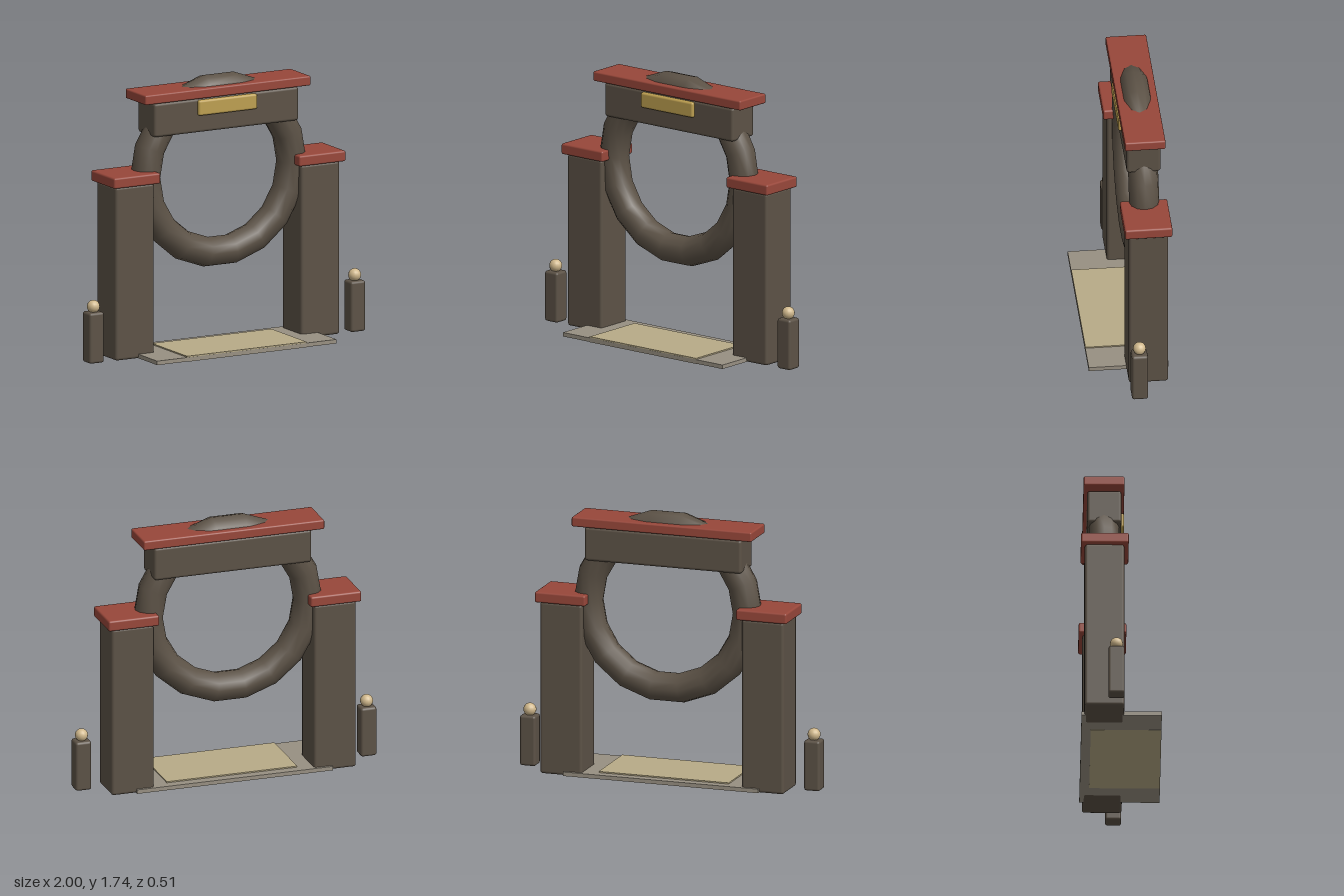
import * as THREE from 'three';
import { RoundedBoxGeometry } from 'three/addons/geometries/RoundedBoxGeometry.js';

const mat = (color) => new THREE.MeshStandardMaterial({ color });
const stone = mat(0x5c5246);
const red = mat(0x98473a);
const gold = mat(0xbd9f50);
const sand = mat(0xb8ab87);
const slab = mat(0x989082);
const lamp = mat(0xd0b88c);

export function createModel() {
  const gate = new THREE.Group();
  gate.name = 'ringGate';

  const add = (name, geometry, material, x, y, z) => {
    const mesh = new THREE.Mesh(geometry, material);
    mesh.name = name;
    mesh.position.set(x, y, z);
    gate.add(mesh);
    return mesh;
  };

  // Box given by centre x, width, and its y and z ranges; r rounds the edges
  const block = (name, material, x, w, [y0, y1], [z0, z1], r = 0) => {
    const h = y1 - y0, d = z1 - z0;
    const geometry = r ? new RoundedBoxGeometry(w, h, d, 2, r) : new THREE.BoxGeometry(w, h, d);
    return add(name, geometry, material, x, (y0 + y1) / 2, (z0 + z1) / 2);
  };

  // Floor slab with a raised threshold panel
  block('floorSlab', slab, 0, 1.3, [0.002, 0.028], [-0.25, 0.255]);
  block('thresholdPanel', sand, 0, 0.866, [0, 0.036], [-0.19, 0.254]);

  // Pillars, their caps and the small lamp posts, mirrored
  for (const [side, s] of [['left', 1], ['right', -1]]) {
    block(side + 'Pillar', stone, s * 0.672, 0.28, [0, 1.115], [-0.232, 0.018], 0.018);
    block(side + 'PillarCap', red, s * 0.671, 0.337, [1.113, 1.182], [-0.255, 0.045], 0.012);
    block(side + 'LampPost', stone, s * 0.947, 0.105, [0, 0.325], [-0.085, 0.017], 0.016);
    add(side + 'Lamp', new THREE.SphereGeometry(0.041, 16, 12), lamp, s * 0.947, 0.358, -0.034);
  }

  // Ring whose crown breaks through the roof
  add('ring', new THREE.TorusGeometry(0.53, 0.095, 12, 18), stone, 0, 1.126, -0.107);

  // Lintel, name plate running through it, and roof
  block('lintel', stone, 0, 1.046, [1.402, 1.62], [-0.213, 0.002], 0.018);
  block('plate', gold, 0, 0.425, [1.512, 1.611], [-0.212, 0.023], 0.014);
  block('roof', red, 0, 1.2, [1.622, 1.684], [-0.236, 0.021], 0.01);

  return gate;
}
